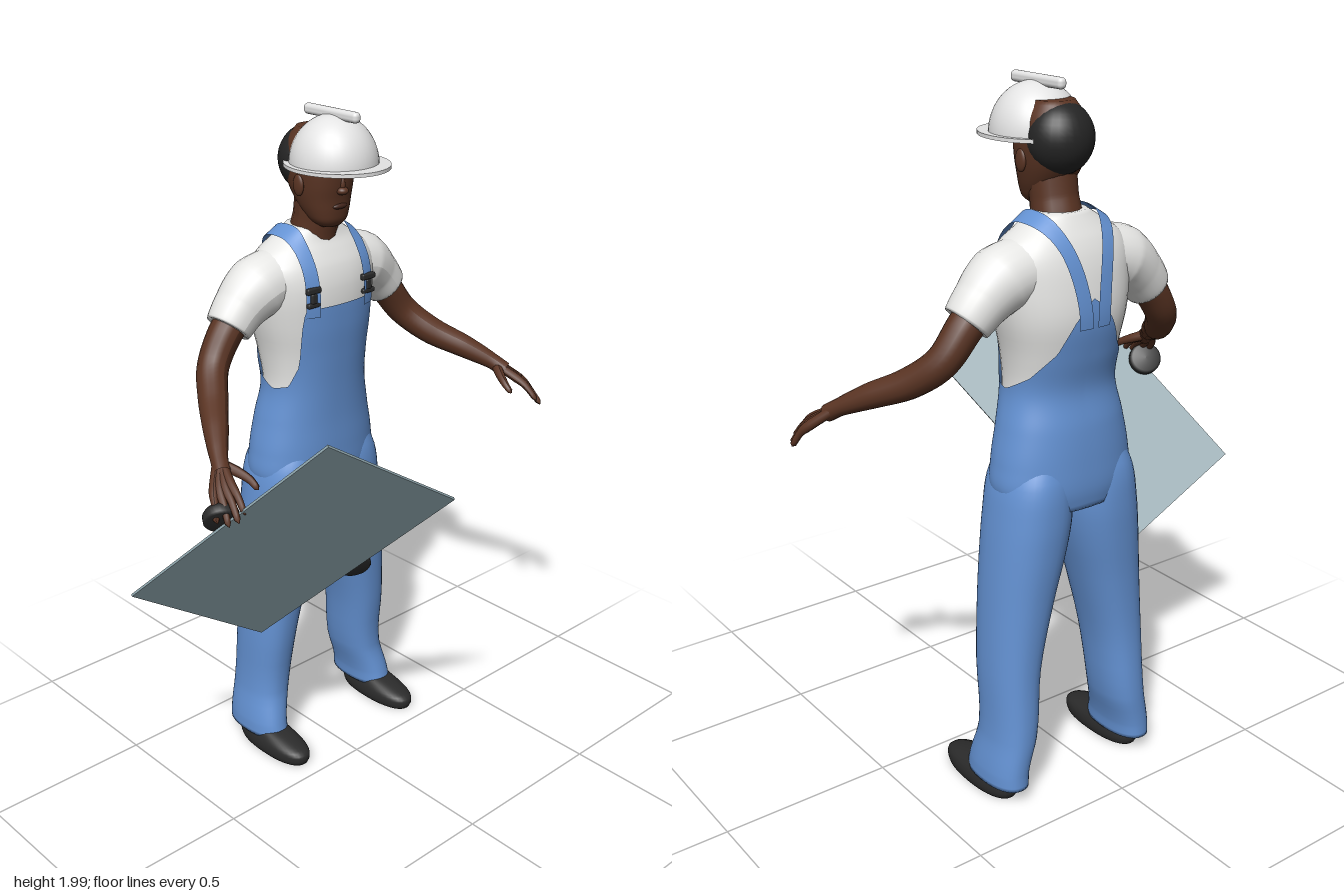
import * as THREE from 'three';
import { RoundedBoxGeometry } from 'three/addons/geometries/RoundedBoxGeometry.js';

const CZ = -0.055; // the figure's own centre line; it faces +x
const mat = (name, color, side = THREE.FrontSide) => {
  const m = new THREE.MeshStandardMaterial({ color, side });
  m.name = name;
  return m;
};

// Rings are [y, centreX, halfX, centreZ, halfZ], smoothly interpolated over y
function sampler(rows) {
  const out = new Float32Array(4);
  const f = new THREE.CubicInterpolant(rows.map(r => r[0]), rows.flatMap(r => r.slice(1)), 4, out);
  return y => Array.from(f.evaluate(y));
}

const pow = (v, e) => Math.sign(v) * Math.abs(v) ** e;
function ringPoint(ring, y, a, grow = 0, e = 0.88) {
  const [cx, dx, cz, dz] = ring;
  return [cx + (dx + grow) * pow(Math.cos(a), e), y, cz + (dz + grow) * pow(Math.sin(a), e)];
}

// Surface from a grid of points, closed around u when asked
function grid(nu, nv, fn, closed) {
  const pos = [], idx = [], w = closed ? nu : nu + 1;
  for (let j = 0; j <= nv; j++) for (let i = 0; i < w; i++) pos.push(...fn(i / nu, j));
  for (let j = 0; j < nv; j++) for (let i = 0; i < nu; i++) {
    const a = j * w + i, b = j * w + (i + 1) % w;
    idx.push(a, a + w, b, b, a + w, b + w);
  }
  const g = new THREE.BufferGeometry();
  g.setAttribute('position', new THREE.Float32BufferAttribute(pos, 3));
  g.setIndex(idx);
  g.computeVertexNormals();
  return g;
}

// Closed body through horizontal rings
function loft(rows, sides = 40, sub = 4) {
  const at = sampler(rows), ys = [];
  rows.forEach((r, i) => {
    if (i) for (let k = 1; k <= sub; k++) ys.push(THREE.MathUtils.lerp(rows[i - 1][0], r[0], k / sub));
    else ys.push(r[0]);
  });
  const n = ys.length;
  return grid(sides, n + 1, (u, j) => {
    const y = ys[THREE.MathUtils.clamp(j - 1, 0, n - 1)], r = at(y);
    return j === 0 || j === n + 1 ? [r[0], y, r[2]] : ringPoint(r, y, u * Math.PI * 2);
  }, true);
}

// Tube through [x, y, z, radius] points
function limb(pts, seg = 24, sides = 16) {
  const curve = new THREE.CatmullRomCurve3(pts.map(p => new THREE.Vector3(p[0], p[1], p[2])));
  const g = new THREE.TubeGeometry(curve, seg, 1, sides), pos = g.attributes.position;
  const v = new THREE.Vector3();
  for (let i = 0; i <= seg; i++) {
    const c = curve.getPointAt(i / seg), t = curve.getUtoTmapping(i / seg) * (pts.length - 1);
    const k = Math.min(Math.floor(t), pts.length - 2);
    const r = THREE.MathUtils.lerp(pts[k][3], pts[k + 1][3], t - k);
    for (let j = 0; j <= sides; j++) {
      const n = i * (sides + 1) + j;
      v.fromBufferAttribute(pos, n).sub(c).multiplyScalar(r).add(c);
      pos.setXYZ(n, v.x, v.y, v.z);
    }
  }
  g.computeVertexNormals();
  return g;
}

const TORSO = [
  [0.87, -0.268, 0.115, CZ, 0.17], [0.92, -0.266, 0.125, CZ, 0.203], [1.0, -0.264, 0.125, CZ, 0.2],
  [1.1, -0.26, 0.12, CZ, 0.18], [1.2, -0.25, 0.114, CZ, 0.16], [1.3, -0.255, 0.127, CZ, 0.168],
  [1.4, -0.258, 0.138, CZ, 0.19], [1.5, -0.253, 0.132, CZ, 0.203], [1.56, -0.253, 0.117, CZ, 0.2],
  [1.6, -0.255, 0.098, CZ, 0.172], [1.63, -0.255, 0.08, CZ, 0.128], [1.665, -0.25, 0.063, CZ, 0.074]];
const HEAD = [
  [1.67, -0.17, 0.025, CZ, 0.03], [1.685, -0.175, 0.043, CZ, 0.05], [1.71, -0.186, 0.06, CZ, 0.064],
  [1.75, -0.2, 0.078, CZ, 0.077], [1.79, -0.208, 0.093, CZ, 0.085], [1.85, -0.215, 0.103, CZ, 0.089],
  [1.9, -0.215, 0.09, CZ, 0.08], [1.94, -0.215, 0.06, CZ, 0.055]];
// Upper edge of the overalls by angle from the front
const EDGE = [[0, 1.455], [0.6, 1.455], [0.68, 1.4], [0.82, 1.28], [1.08, 1.218], [1.5, 1.205],
  [2.1, 1.25], [2.6, 1.32], [2.88, 1.4], [3.15, 1.46]];
function edgeY(a) {
  const k = EDGE.findIndex(e => e[0] >= a) || 1, [p, q] = [EDGE[k - 1], EDGE[k]];
  return THREE.MathUtils.mapLinear(a, p[0], q[0], p[1], q[1]);
}

export function createModel() {
  const model = new THREE.Group();
  model.name = 'worker';
  const skin = mat('skin', 0x5a3423), lip = mat('lip', 0x43251b), hair = mat('hair', 0x252525);
  const denim = mat('denim', 0x6492d3, THREE.DoubleSide), shirt = mat('shirt', 0xe9e9e7, THREE.DoubleSide);
  const helmet = mat('helmet', 0xe4e4e4, THREE.DoubleSide), black = mat('black', 0x2b2b2b);
  const glass = mat('glass', 0x8ba1a8);
  const add = (name, geo, m, parent = model) => {
    const mesh = new THREE.Mesh(geo, m);
    mesh.name = name;
    parent.add(mesh);
    return mesh;
  };
  const ball = (name, m, p, s) => {
    const b = add(name, new THREE.SphereGeometry(1, 28, 20), m);
    b.position.set(...p);
    b.scale.set(...s);
    return b;
  };

  // Shirt body and overalls that wrap it
  add('shirtBody', loft(TORSO.slice(3)), shirt);
  const torso = sampler(TORSO);
  add('overalls', grid(120, 37, (u, j) => {
    const a = u * Math.PI * 2, top = edgeY(Math.min(a, Math.PI * 2 - a));
    const y = THREE.MathUtils.lerp(0.87, top, Math.max(j - 1, 0) / 36), r = torso(y);
    return j ? ringPoint(r, y, a, 0.007) : [r[0], y, CZ];
  }, true), denim);

  // Point on the torso surface at a sideways offset; s runs from bib over the shoulder to the back
  function strapPoint(s, off) {
    let lo = 1.5, hi = 1.665;
    for (let i = 0; i < 24; i++) {
      const m = (lo + hi) / 2;
      if (torso(m)[3] + 0.009 > off) lo = m; else hi = m;
    }
    const front = s < 0.5, k = Math.sin((front ? s : 1 - s) * Math.PI);
    const y = THREE.MathUtils.lerp(front ? 1.43 : 1.38, lo, k), [cx, dx, , dz] = torso(y);
    const q = Math.min(off / (dz + 0.009), 1), e = 2 / 0.88;
    const x = (dx + 0.011) * Math.max(1 - q ** e, 0) ** (1 / e);
    return [cx + (front ? x : -x), y + 0.006 * k, off];
  }

  for (const s of [-1, 1]) {
    const Z = o => CZ + s * o;
    const tube = (name, pts, m, seg, sides) =>
      add(name, limb(pts.map(([x, y, o, r]) => [x, y, Z(o), r]), seg, sides), m);

    // Straps with buckles
    add('strap', grid(4, 48, (u, j) => {
      const t = j / 48, mid = 0.104 - 0.075 * THREE.MathUtils.smoothstep(t, 0.5, 1);
      const p = strapPoint(t, mid + (u - 0.5) * 0.042);
      return [p[0], p[1], Z(p[2])];
    }), denim);
    for (const [y, h, w] of [[1.51, 0.018, 0.05], [1.487, 0.03, 0.02], [1.468, 0.014, 0.046]]) {
      const p = strapPoint(0.15, 0.103);
      const b = add('buckle', new RoundedBoxGeometry(0.016, h, w, 2, 0.005), black);
      b.position.set(p[0] + 0.004, y, Z(0.104));
    }

    // Trouser leg and shoe
    add('trouserLeg', loft([
      [0.055, -0.277, 0.116, Z(0.225), 0.06], [0.1, -0.281, 0.11, Z(0.222), 0.061],
      [0.2, -0.291, 0.1, Z(0.2), 0.066], [0.4, -0.275, 0.105, Z(0.185), 0.076],
      [0.6, -0.268, 0.116, Z(0.155), 0.095], [0.75, -0.268, 0.126, Z(0.129), 0.109],
      [0.85, -0.268, 0.13, Z(0.115), 0.111], [0.95, -0.266, 0.126, Z(0.107), 0.1],
      [1.02, -0.264, 0.105, Z(0.095), 0.08]]), denim);
    add('shoe', loft([
      [0.006, -0.2, 0.143, Z(0.226), 0.054], [0.022, -0.2, 0.149, Z(0.226), 0.058],
      [0.045, -0.203, 0.143, Z(0.226), 0.056], [0.065, -0.23, 0.11, Z(0.226), 0.048],
      [0.085, -0.27, 0.06, Z(0.226), 0.04]]), black);

    // Sleeve, arm and hand
    tube('sleeve', [[-0.258, 1.525, 0.12, 0.09], [-0.26, 1.505, 0.2, 0.091], [-0.262, 1.46, 0.26, 0.075],
      [-0.26, 1.412, 0.303, 0.064], [-0.26, 1.417, 0.299, 0.045]], shirt, 32, 24);
    tube('arm', [[-0.26, 1.45, 0.265, 0.05], [-0.262, 1.4, 0.312, 0.049], [-0.247, 1.32, 0.37, 0.045],
      [-0.18, 1.257, 0.425, 0.042], [-0.09, 1.21, 0.488, 0.035], [-0.015, 1.168, 0.538, 0.024],
      [0.02, 1.145, 0.556, 0.024]], skin, 32);
    [0, 1, 2, 3].forEach(i => {
      const tip = [[0.132, 1.075, 0.575], [0.132, 1.057, 0.596], [0.115, 1.046, 0.615], [0.085, 1.05, 0.63]][i];
      const base = [0.062 - i * 0.006, 1.128 - i * 0.006, 0.562 + i * 0.014];
      const mid = base.map((b, k) => (b + tip[k]) / 2 + (k === 1 ? 0.008 : 0));
      tube('finger', [[-0.01, 1.164, 0.536 + i * 0.004, 0.014], [...base, 0.014], [...mid, 0.0105],
        [...tip, 0.008], [tip[0] + 0.004, tip[1] - 0.004, tip[2], 0.001]], skin, 16, 10);
    });
    tube('thumb', [[0.0, 1.157, 0.54, 0.016], [0.035, 1.142, 0.518, 0.014], [0.07, 1.125, 0.503, 0.011],
      [0.095, 1.108, 0.5, 0.008], [0.099, 1.105, 0.5, 0.001]], skin, 16, 10);

    // Ear, eye and brow
    ball('ear', skin, [-0.2, 1.79, Z(0.087)], [0.02, 0.03, 0.009]);
    ball('eye', hair, [-0.129, 1.803, Z(0.034)], [0.005, 0.006, 0.014]);
    const brow = ball('brow', hair, [-0.124, 1.822, Z(0.036)], [0.006, 0.005, 0.021]);
    brow.rotation.x = -s * 0.2;
  }

  // Neck, head and face
  add('neck', limb([[-0.25, 1.58, CZ, 0.07], [-0.24, 1.64, CZ, 0.069], [-0.228, 1.69, CZ, 0.065],
    [-0.215, 1.77, CZ, 0.066]]), skin);
  add('head', loft(HEAD), skin);
  ball('hair', hair, [-0.25, 1.845, CZ], [0.087, 0.095, 0.092]);
  ball('nose', skin, [-0.118, 1.775, CZ], [0.019, 0.012, 0.018]);
  ball('noseBridge', skin, [-0.121, 1.792, CZ], [0.013, 0.028, 0.009]);
  ball('mouth', lip, [-0.129, 1.731, CZ], [0.012, 0.009, 0.026]);

  // Safety helmet: dome, brim and top ridge
  const dome = add('helmetDome', new THREE.SphereGeometry(1, 40, 16, 0, Math.PI * 2, 0, Math.PI / 2), helmet);
  dome.scale.set(0.127, 0.137, 0.123);
  dome.position.set(-0.15, 1.843, CZ);
  const outline = new THREE.Shape().absellipse(-0.138, 0, 0.158, 0.14, 0, Math.PI * 2);
  outline.holes.push(new THREE.Path().absellipse(-0.15, 0, 0.122, 0.118, 0, Math.PI * 2));
  const brim = add('helmetBrim', new THREE.ExtrudeGeometry(outline,
    { depth: 0.01, bevelEnabled: false, curveSegments: 40 }), helmet);
  brim.rotation.x = -Math.PI / 2;
  brim.position.set(0, 1.84, CZ);
  const ridge = add('helmetRidge', new RoundedBoxGeometry(0.213, 0.03, 0.026, 3, 0.012), helmet);
  ridge.position.set(-0.158, 1.98, CZ);

  // Tilted glass pane with a suction cup at both edges
  const pane = new THREE.Group();
  pane.name = 'glassPane';
  const u = new THREE.Vector3(-0.055, 0.26, 0.405).normalize();
  const v = new THREE.Vector3(0.51, 0.53, -0.27).normalize();
  pane.quaternion.setFromRotationMatrix(new THREE.Matrix4().makeBasis(u, v, u.clone().cross(v)));
  pane.position.set(0.1125, 0.905, 0.3475);
  model.add(pane);
  add('pane', new THREE.BoxGeometry(0.484, 0.784, 0.008), glass, pane);
  const cup = new THREE.LatheGeometry([[0, -0.018], [0.044, -0.018], [0.049, -0.012], [0.049, 0.008],
    [0.042, 0.018], [0, 0.02]].map(p => new THREE.Vector2(...p)), 32).rotateX(Math.PI / 2);
  for (const s of [-1, 1]) add('suctionCup', cup, black, pane).position.set(s * 0.25, 0, 0.022);

  return model;
}
